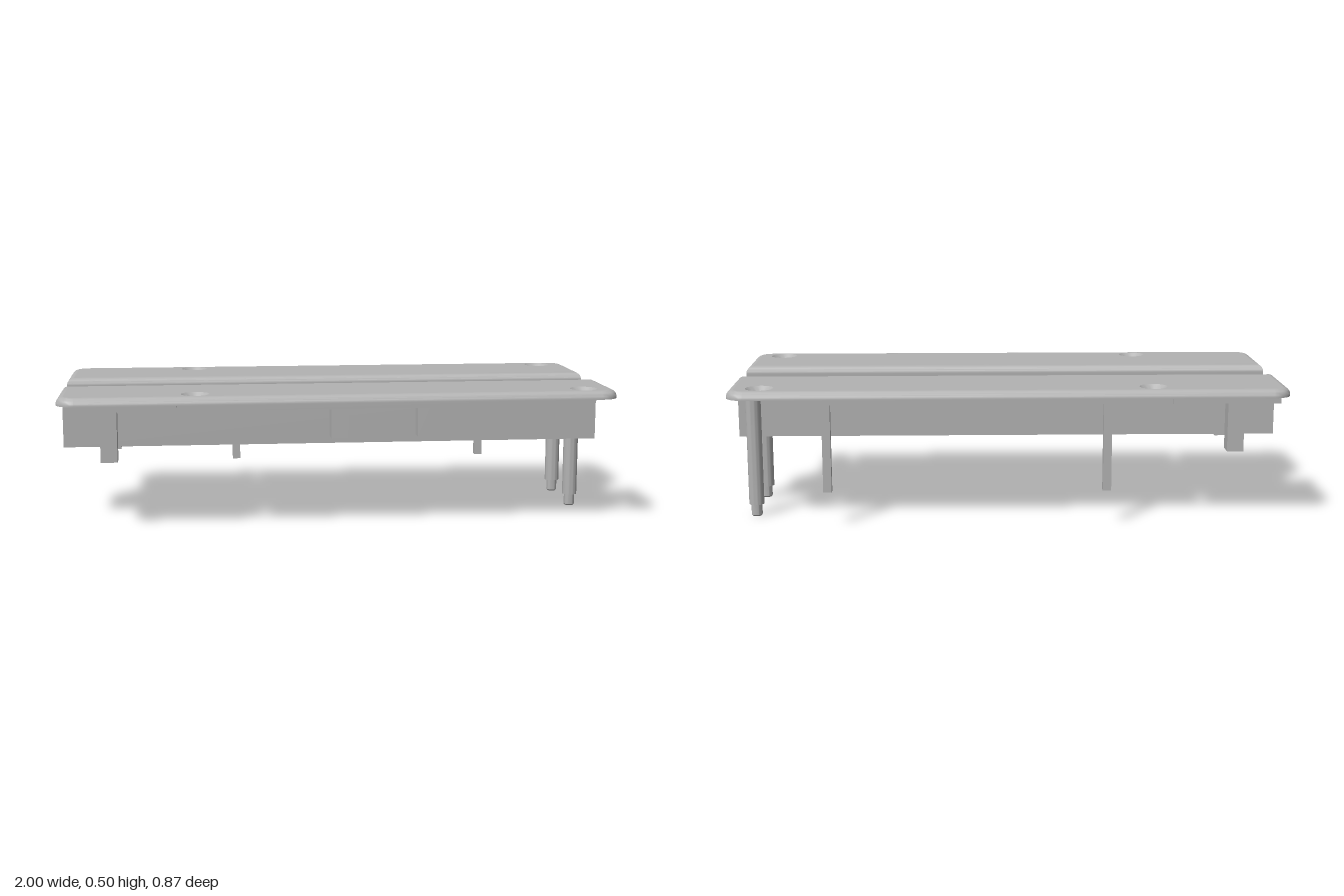
import * as THREE from 'three';
import { mergeGeometries, toCreasedNormals } from 'three/addons/utils/BufferGeometryUtils.js';

const INNER = 0.095, OUTER = 0.437, WALL = 0.026;
const TOP = 0.5, UNDER = 0.47, FLOOR = 0.274;
const HOLE_Z = 0.357, HOLE_X = [-0.515, 0.885];
const CORNER = 0.065, FILLET = 0.026;

// Plate outline in (x, z), inset on every side, rounded at the two outer corners
function outline(inset) {
  const x = 1 - inset, z0 = INNER + inset, r = CORNER - inset;
  const pts = [[-x, z0], [x, z0]];
  for (const [cx, start] of [[1 - CORNER, 0], [CORNER - 1, Math.PI / 2]]) {
    for (let i = 0; i <= 8; i++) {
      const a = start + (i / 8) * Math.PI / 2;
      pts.push([cx + r * Math.cos(a), OUTER - CORNER + r * Math.sin(a)]);
    }
  }
  return pts;
}

// Flat plate face with round holes; dir is 1 facing up, -1 facing down
function plateFace(inset, y, dir, holeXs, holeR) {
  const shape = new THREE.Shape(outline(inset).map(([x, z]) => new THREE.Vector2(x, -dir * z)));
  for (const hx of holeXs) {
    const hole = new THREE.Path();
    hole.absarc(hx, -dir * HOLE_Z, holeR, 0, Math.PI * 2, true);
    shape.holes.push(hole);
  }
  return new THREE.ShapeGeometry(shape, 16).rotateX(-dir * Math.PI / 2).translate(0, y, 0).toNonIndexed();
}

// Rim lofted from a straight edge into a rounded top
function plateRim() {
  const levels = [[0, UNDER]];
  for (let i = 0; i <= 6; i++) {
    const a = (i / 6) * Math.PI / 2;
    levels.push([FILLET * (1 - Math.cos(a)), TOP - FILLET + FILLET * Math.sin(a)]);
  }
  const rings = levels.map(([inset, y]) => outline(inset).map(([x, z]) => [x, y, z]));
  const pos = [];
  for (let k = 0; k < rings.length - 1; k++) {
    const lo = rings[k], hi = rings[k + 1], n = lo.length;
    for (let i = 0; i < n; i++) {
      const j = (i + 1) % n;
      pos.push(...lo[i], ...hi[i], ...hi[j], ...lo[i], ...hi[j], ...lo[j]);
    }
  }
  const g = new THREE.BufferGeometry();
  g.setAttribute('position', new THREE.Float32BufferAttribute(pos, 3));
  return toCreasedNormals(g, 0.7);
}

// Plate with countersunk screw holes
function plateGeometry(holeXs) {
  const parts = [
    plateRim(),
    plateFace(FILLET, TOP, 1, holeXs, 0.05),
    plateFace(0, UNDER, -1, holeXs, 0.03),
  ];
  for (const hx of holeXs) {
    const profile = [[0.05, TOP], [0.03, 0.483], [0.03, UNDER]].map(([r, y]) => new THREE.Vector2(r, y));
    const sink = new THREE.LatheGeometry(profile, 32).translate(hx, 0, HOLE_Z);
    parts.push(toCreasedNormals(sink, 0.5));
  }
  for (const p of parts) p.deleteAttribute('uv');
  return mergeGeometries(parts);
}

export function createModel() {
  const group = new THREE.Group();
  const grey = new THREE.MeshStandardMaterial({ color: 0xb2b2b2 });
  grey.name = 'plain grey';

  const add = (name, geometry) => {
    const mesh = new THREE.Mesh(geometry, grey);
    mesh.name = name;
    group.add(mesh);
    return mesh;
  };
  // Box given by its limits on each axis
  const box = (name, x0, x1, y0, y1, z0, z1) =>
    add(name, new THREE.BoxGeometry(x1 - x0, y1 - y0, z1 - z0)
      .translate((x0 + x1) / 2, (y0 + y1) / 2, (z0 + z1) / 2));
  // The same box on the front (1) or back (-1) side
  const sideBox = (name, s, x0, x1, y0, y1, z0, z1) =>
    box(name, x0, x1, y0, y1, s > 0 ? z0 : -z1, s > 0 ? z1 : -z0);

  // Top plates
  add('frontPlate', plateGeometry(HOLE_X));
  add('backPlate', plateGeometry(HOLE_X.map(x => -x))).rotation.y = Math.PI;

  // Central channel
  box('channelFloor', -1, 1, FLOOR, 0.29, -INNER, INNER);
  for (const s of [1, -1]) {
    const side = s > 0 ? 'front' : 'back';
    sideBox(side + 'ChannelWall', s, -1, 1, FLOOR, UNDER, INNER, INNER + WALL);

    // Thin ribs under the plate, broken around the screw holes
    sideBox(side + 'ShortRib', s, -0.965, -0.58, 0.445, UNDER, 0.39, 0.401);
    sideBox(side + 'LongRib', s, -0.455, 0.825, 0.445, UNDER, 0.39, 0.401);
    sideBox(side + 'RightEndRib', s, -0.965, -0.945, 0.445, UNDER, INNER + WALL, 0.39);
    sideBox(side + 'LeftEndRib', s, 0.935, 0.955, 0.445, UNDER, INNER + WALL, 0.29);

    // Outer support block
    sideBox(side + 'Block', s, -0.855, -0.795, 0.248, UNDER, 0.24, 0.302);
  }

  // Remaining blocks and slim posts
  box('channelBlock', -0.855, -0.795, 0.248, FLOOR, -0.03, 0.03);
  for (const x of [0.005, 0.323]) box('stopBlock', x - 0.031, x + 0.031, 0.32, UNDER, 0.221, 0.283);
  for (const x of [-0.35, 0.65]) box('slimPost', x - 0.015, x + 0.015, 0.128, UNDER, -0.397, -0.37);

  // Round pins with stepped, chamfered tips
  for (const [name, z, top] of [['channelPin', 0.044, FLOOR], ['platePin', -0.23, UNDER]]) {
    const profile = [[0, 0], [0.016, 0], [0.02, 0.005], [0.02, 0.045], [0.0275, 0.045], [0.0275, top]]
      .map(([r, y]) => new THREE.Vector2(r, y));
    add(name, toCreasedNormals(new THREE.LatheGeometry(profile, 32), 0.5)).position.set(0.928, 0, z);
  }

  return group;
}
